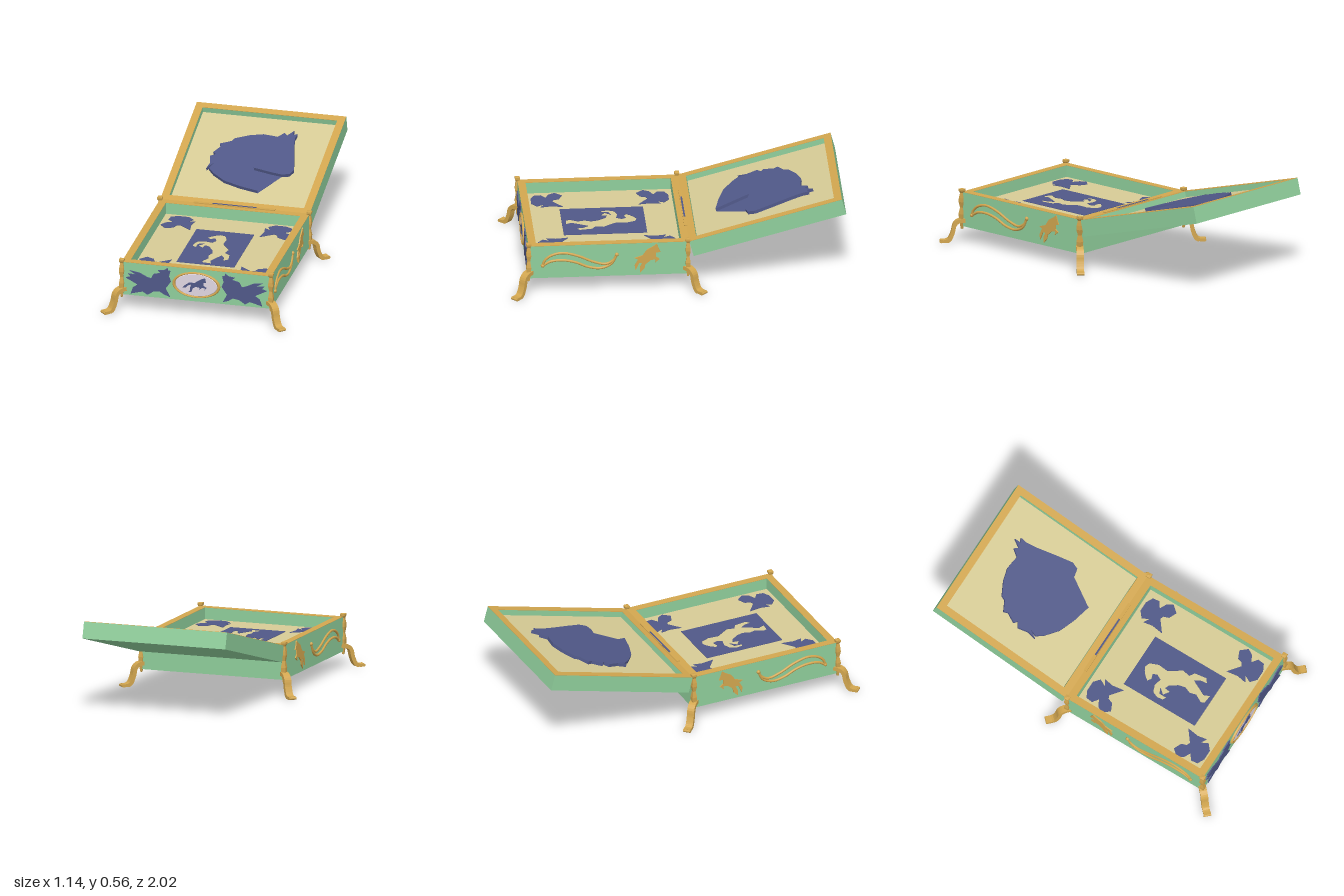
import * as THREE from 'three';

const paint = (color) => new THREE.MeshStandardMaterial({ color });
const GREEN = paint(0x8fce9b), GOLD = paint(0xd2a64f), CREAM = paint(0xd6cb95);
const BLUE = paint(0x505888), PEARL = paint(0xe0d6e2);

function add(parent, name, geometry, material) {
  const mesh = new THREE.Mesh(geometry, material);
  mesh.name = name;
  parent.add(mesh);
  return mesh;
}

function box(parent, name, w, h, d, x, y, z, material) {
  return add(parent, name, new THREE.BoxGeometry(w, h, d).translate(x, y, z), material);
}

// Outline from flat grid coordinates (v downwards), moved to an origin and scaled to units
function outline(flat, ox, oy, unit, flip = 1) {
  const pts = [];
  for (let i = 0; i < flat.length; i += 2) {
    pts.push(new THREE.Vector2(flip * (flat[i] - ox) / unit, (oy - flat[i + 1]) / unit));
  }
  return pts;
}

const prism = (pts, depth, hole) => {
  const shape = new THREE.Shape(pts);
  if (hole) shape.holes.push(new THREE.Path(hole));
  return new THREE.ExtrudeGeometry(shape, { depth, bevelEnabled: false, curveSegments: 8 });
};
const lying = (pts, depth, y, hole) => prism(pts, depth, hole).rotateX(-Math.PI / 2).translate(0, y, 0);

const rect = (x0, y0, x1, y1) => [[x0, y0], [x1, y0], [x1, y1], [x0, y1]].map(p => new THREE.Vector2(...p));

// Open tray: walls, gilded rim, solid base and lined floor
function tray(parent, name, zBack, zFront, yBottom, yTop, yFloor) {
  const W = 0.46, T = 0.046, mid = (zBack + zFront) / 2, len = zFront - zBack;
  const outer = rect(-W, -zFront, W, -zBack);
  const inner = rect(-W + T, -zFront + T, W - T, -zBack - T);
  add(parent, name + 'Walls', lying(outer, yTop - 0.002 - yBottom, yBottom, inner), GREEN);
  add(parent, name + 'Rim', lying(outer, 0.002, yTop - 0.002, inner), GOLD);
  const h = yFloor - 0.002 - yBottom;
  box(parent, name + 'Base', 2 * (W - T), h, len - 2 * T, 0, yBottom + h / 2, mid, GREEN);
  box(parent, name + 'Floor', 2 * (W - T), 0.002, len - 2 * T, 0, yFloor - 0.001, mid, CREAM);
}

const REARING_HORSE = [1131, 266, 1127, 268, 1122, 272, 1118, 277, 1122, 280, 1128, 278, 1130, 283, 1127, 289,
  1118, 287, 1110, 290, 1107, 297, 1108, 304, 1112, 306, 1112, 297, 1119, 294, 1113, 301, 1120, 306, 1121, 299,
  1126, 301, 1132, 310, 1134, 318, 1131, 325, 1133, 333, 1128, 342, 1130, 346, 1140, 347, 1137, 340, 1142, 330,
  1146, 322, 1150, 328, 1151, 336, 1156, 332, 1154, 318, 1148, 314, 1150, 305, 1145, 298, 1140, 290, 1141, 278, 1137, 268];
const LEAPING_HORSE = [257, 231, 258, 236, 259, 240, 254, 241, 253, 247, 260, 251, 256, 257, 257, 252, 250, 252,
  245, 257, 246, 252, 238, 251, 231, 255, 229, 263, 222, 264, 226, 260, 226, 254, 228, 247, 222, 249, 218, 254,
  210, 255, 216, 249, 224, 243, 235, 243, 244, 237, 250, 233];
const SIDE_HORSE = [661, 220, 663, 226, 665, 230, 660, 231, 660, 236, 664, 239, 659, 243, 660, 239, 654, 240,
  648, 245, 647, 250, 642, 255, 642, 248, 645, 243, 641, 243, 637, 252, 636, 246, 640, 239, 636, 237, 645, 234, 650, 227, 657, 223];
const BIRD = [179, 217, 180, 222, 185, 223, 182, 235, 186, 246, 180, 255, 175, 262, 184, 279, 172, 275, 163, 269,
  150, 271, 138, 279, 128, 273, 113, 277, 103, 280, 108, 266, 118, 259, 93, 246, 103, 243, 98, 237, 115, 238,
  101, 230, 121, 233, 137, 241, 145, 243, 150, 233, 165, 229, 159, 224, 172, 222];
const LEAF = [1072, 226, 1084, 226, 1091, 232, 1087, 240, 1094, 236, 1092, 247, 1094, 261, 1080, 250, 1076, 252,
  1074, 258, 1065, 262, 1058, 254, 1062, 247, 1070, 243, 1063, 238, 1064, 230];
const HORSE_HEAD = [1168, 71, 1168, 78, 1173, 76, 1172, 84, 1174, 96, 1180, 120, 1184, 138, 1181, 146, 1172, 148,
  1160, 146, 1138, 141, 1152, 180, 1130, 175, 1110, 168, 1095, 157, 1088, 149, 1091, 140, 1085, 150, 1087, 140,
  1084, 128, 1090, 124, 1086, 121, 1092, 110, 1090, 105, 1102, 99, 1104, 94, 1120, 86, 1135, 82, 1145, 83,
  1152, 84, 1158, 76, 1162, 80];

function addFloorInlays(chest) {
  const y = 0.24;
  const horse = outline(REARING_HORSE, 1134.5, 224.5, 189);
  add(chest, 'floorHorsePanel', lying(rect(-0.18, -0.67, 0.175, -0.17), 0.003, y, horse), BLUE);
  // Leaves mirrored into the four corners
  for (const sx of [1, -1]) for (const sz of [1, -1]) {
    const pts = outline(LEAF, 1134.5, 304, 189, sx).map(p => new THREE.Vector2(p.x, sz * p.y - 0.42));
    add(chest, 'cornerLeaf', lying(pts, 0.003, y), BLUE);
  }
}

function addFront(chest) {
  for (const s of [1, -1]) {
    add(chest, 'frontBird', prism(outline(BIRD, 238.5, 317.5, 335, s), 0.007).translate(0, 0, 0.902), BLUE);
  }
  // Oval medallion
  const oval = g => g.rotateX(Math.PI / 2).scale(1, 0.56, 1).translate(0, 0.208, 0.902);
  const ring = [[0.147, 0], [0.147, 0.006], [0.143, 0.012], [0.137, 0.013], [0.131, 0.009], [0.13, 0]]
    .map(p => new THREE.Vector2(...p));
  add(chest, 'medallionRing', oval(new THREE.LatheGeometry(ring, 48)), GOLD);
  add(chest, 'medallion', oval(new THREE.CylinderGeometry(0.125, 0.132, 0.007, 48).translate(0, 0.0035, 0)), PEARL);
  add(chest, 'medallionHorse', prism(outline(LEAPING_HORSE, 238.5, 317.5, 335), 0.004).translate(0, 0, 0.909), BLUE);
}

function addSides(chest) {
  const scrolls = [
    [533, 243, 535, 237, 542, 231, 555, 228, 572, 232, 590, 240, 604, 243, 613, 238, 616, 232],
    [533, 243, 542, 238, 556, 237, 570, 240, 584, 246, 598, 248, 610, 243, 616, 232],
  ];
  for (const s of [1, -1]) {
    const x = s > 0 ? 0.46 : -0.467;
    add(chest, 'sideHorse', prism(outline(SIDE_HORSE, 686, 277, 187), 0.007)
      .rotateY(Math.PI / 2).translate(x, 0, 0), GOLD);
    for (const flat of scrolls) {
      const pts = outline(flat, 686, 277, 187).map(p => new THREE.Vector3(s * 0.462, p.y, -p.x));
      add(chest, 'sideScroll', new THREE.TubeGeometry(new THREE.CatmullRomCurve3(pts), 40, 0.008, 8), GOLD);
      for (const p of [pts[0], pts[pts.length - 1]]) {
        add(chest, 'scrollEnd', new THREE.SphereGeometry(0.012, 12, 8).translate(p.x, p.y, p.z), GOLD);
      }
    }
  }
}

function addCorners(chest) {
  // Square waisted post
  const post = [[0, 0.08], [0.008, 0.085], [0.018, 0.14], [0.021, 0.175], [0.012, 0.215], [0.021, 0.25],
    [0.019, 0.275], [0.012, 0.305], [0.021, 0.318], [0.021, 0.33], [0, 0.333]].map(p => new THREE.Vector2(...p));
  const postGeo = new THREE.LatheGeometry(post, 4, Math.PI / 4).toNonIndexed();
  postGeo.computeVertexNormals();
  // Curved foot: a thick ribbon following a cabriole line
  const line = new THREE.SplineCurve([[-0.02, 0.137], [0.02, 0.132], [0.045, 0.108], [0.055, 0.065],
    [0.075, 0.02], [0.1, 0.01], [0.128, 0.01]].map(p => new THREE.Vector2(...p)));
  const top = [], under = [];
  for (let i = 0; i <= 20; i++) {
    const p = line.getPoint(i / 20), t = line.getTangent(i / 20);
    const half = i > 15 ? 0.009 : 0.012;
    top.push(new THREE.Vector2(p.x - t.y * half, Math.max(0, p.y + t.x * half)));
    under.unshift(new THREE.Vector2(p.x + t.y * half, Math.max(0, p.y - t.x * half)));
  }
  const footGeo = prism([...top, ...under], 0.044).translate(0, 0, -0.022);
  const toeGeo = new THREE.CylinderGeometry(0.009, 0.009, 0.046, 12).rotateX(Math.PI / 2).translate(0.126, 0.009, 0);
  for (const sx of [1, -1]) for (const sz of [1, -1]) {
    const corner = new THREE.Group();
    corner.name = 'cornerMount';
    corner.position.set(sx * 0.459, 0, sz > 0 ? 0.902 : -0.053);
    add(corner, 'post', postGeo, GOLD);
    for (const [name, geo] of [['foot', footGeo], ['toe', toeGeo]]) {
      add(corner, name, geo, GOLD).rotation.y = Math.atan2(-sz, sx);
    }
    chest.add(corner);
  }
}

function makeLid() {
  const lid = new THREE.Group();
  lid.name = 'lid';
  tray(lid, 'lid', -0.947, 0, -0.103, 0, -0.036);
  // Horse head relief on the lining, with a thin flush throat piece
  const flat = pts => pts.map(p => new THREE.Vector2(p.x, (p.y - 0.055) / 0.966));
  add(lid, 'lidHorseHead', lying(flat(outline(HORSE_HEAD, 1134.5, 224.5, 189)), 0.02, -0.036), BLUE);
  const throat = outline([1138, 141, 1172, 148, 1152, 180], 1134.5, 224.5, 189);
  add(lid, 'lidHorseThroat', lying(flat(throat), 0.001, -0.036), BLUE);
  lid.position.set(0, 0.312, -0.06);
  lid.rotation.x = THREE.MathUtils.degToRad(15);
  return lid;
}

export function createModel() {
  const chest = new THREE.Group();
  chest.name = 'openChest';
  tray(chest, 'chest', -0.06, 0.902, 0.1, 0.312, 0.24);
  addFloorInlays(chest);
  addFront(chest);
  addSides(chest);
  addCorners(chest);
  // Hinge
  box(chest, 'hingePlate', 0.5, 0.008, 0.02, -0.003, 0.314, -0.056, GOLD);
  box(chest, 'hingePin', 0.27, 0.008, 0.01, -0.003, 0.316, -0.056, BLUE);
  chest.add(makeLid());
  return chest;
}
